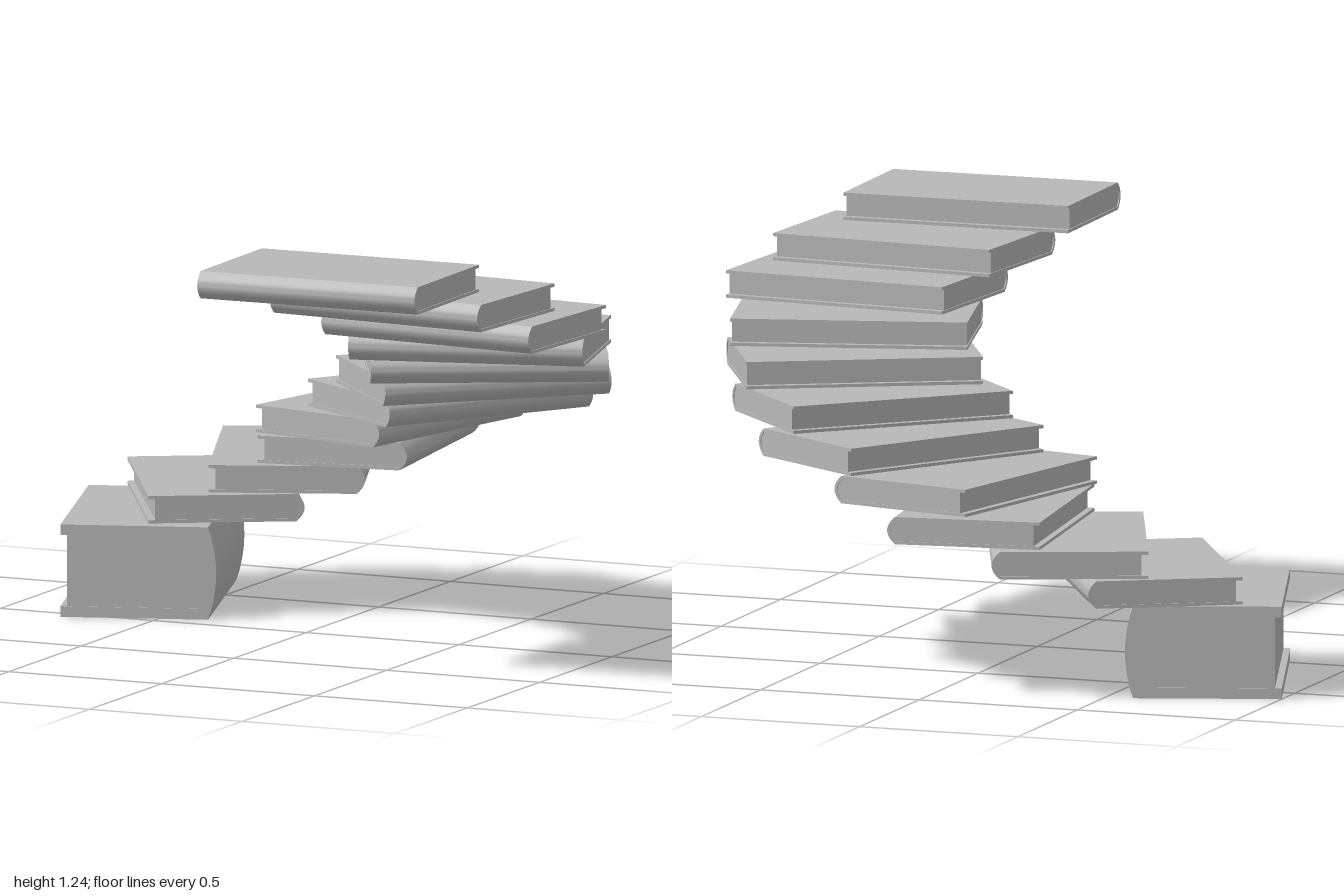
import * as THREE from 'three';
import { toCreasedNormals } from 'three/addons/utils/BufferGeometryUtils.js';

const LENGTH = 0.705; // along the spine
const WIDTH = 0.44;   // fore edge to spine
const BULGE = 0.024;  // how far the spine rounds out

// corner of the fore edge (x, z) and the heading of the spine in degrees, bottom to top
const BOOKS = [
  [-1.0, -0.61, -18.5], [-0.89, -0.645, -30.4], [-0.65, -0.8, -21.8], [-0.35, -0.915, -7.3],
  [-0.12, -0.93, 13], [0.27, -0.85, 33.3], [0.51, -0.695, 46.4], [0.735, -0.49, 62],
  [0.87, -0.27, 75.2], [1.0, 0.04, 94.4], [0.92, 0.225, 94.4], [0.795, 0.485, 89],
];

function extrude(shape, depth, z) {
  const geometry = new THREE.ExtrudeGeometry(shape, { depth, bevelEnabled: false, curveSegments: 10 });
  geometry.translate(0, 0, z);
  return toCreasedNormals(geometry, 0.5);
}

// two boards joined by a rounded spine
function coverGeometry(h) {
  const t = h * 0.115;
  const s = new THREE.Shape();
  s.moveTo(0, 0);
  s.lineTo(WIDTH, 0);
  s.quadraticCurveTo(WIDTH + BULGE * 2, h / 2, WIDTH, h);
  s.lineTo(0, h);
  s.lineTo(0, h - t);
  s.lineTo(WIDTH - 0.002, h - t);
  s.quadraticCurveTo(WIDTH + BULGE * 1.3, h / 2, WIDTH - 0.002, t);
  s.lineTo(0, t);
  s.closePath();
  return extrude(s, LENGTH, 0);
}

// page block, set back slightly from the boards
function pagesGeometry(h) {
  const t = h * 0.115, inset = 0.003;
  const s = new THREE.Shape();
  s.moveTo(0.02, t);
  s.lineTo(WIDTH - 0.002, t);
  s.quadraticCurveTo(WIDTH + BULGE * 1.3, h / 2, WIDTH - 0.002, h - t);
  s.lineTo(0.02, h - t);
  s.closePath();
  return extrude(s, LENGTH - inset * 2, inset);
}

export function createModel() {
  const model = new THREE.Group();
  model.name = 'bookStaircase';
  const grey = new THREE.MeshStandardMaterial({ color: 0xb8b8b8 });
  grey.name = 'grey';

  const thick = [coverGeometry(0.277), pagesGeometry(0.277)];
  const thin = [coverGeometry(0.082), pagesGeometry(0.082)];

  BOOKS.forEach(([x, z, heading], i) => {
    const book = new THREE.Group();
    book.name = i === 0 ? 'baseBook' : `stepBook${i}`;
    (i === 0 ? thick : thin).forEach((geometry, k) => {
      const mesh = new THREE.Mesh(geometry, grey);
      mesh.name = k === 0 ? 'cover' : 'pages';
      book.add(mesh);
    });
    book.position.set(x, i === 0 ? 0 : 0.283 + (i - 1) * 0.0871, z);
    book.rotation.y = -THREE.MathUtils.degToRad(heading);
    model.add(book);
  });
  return model;
}
